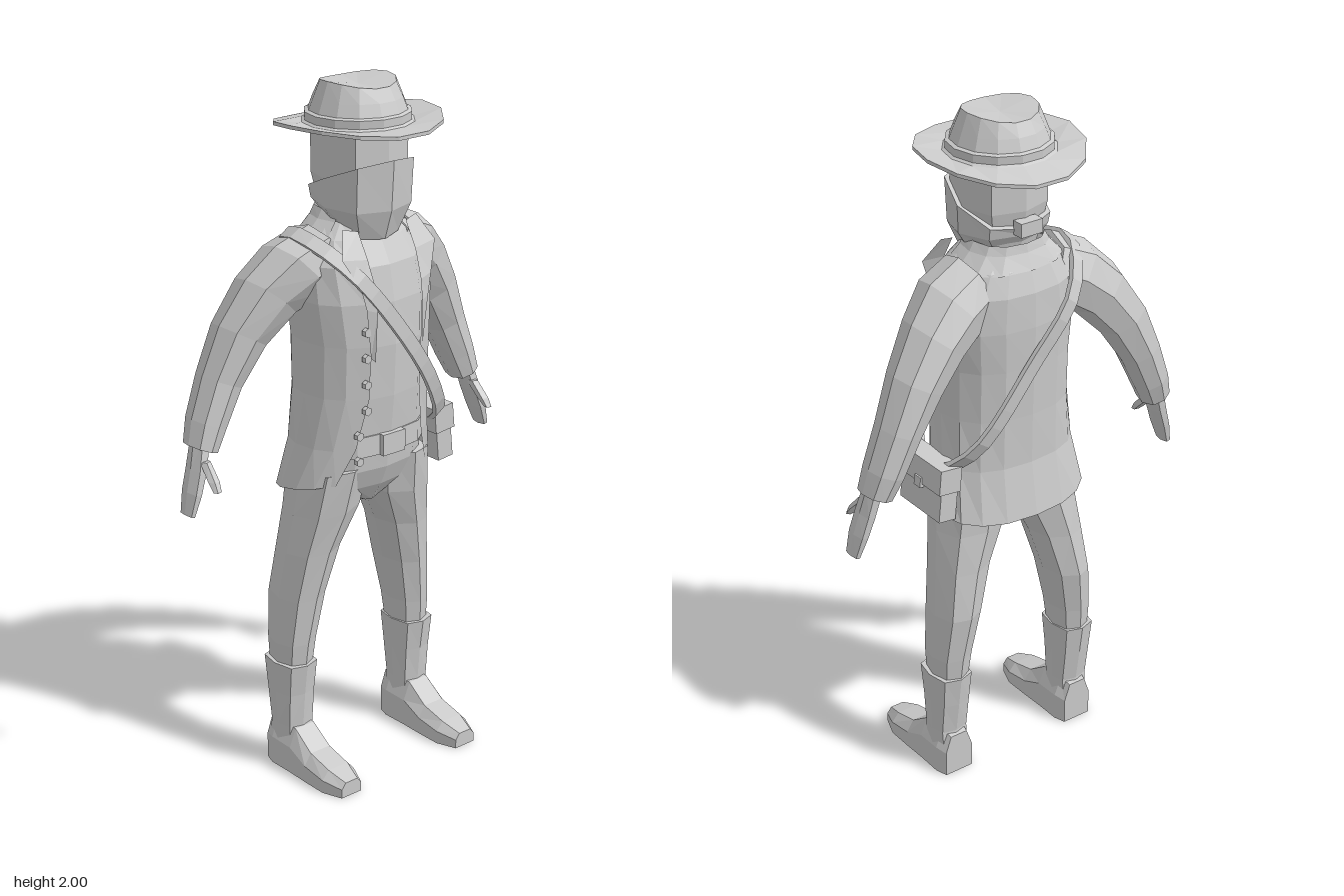
import * as THREE from 'three';

const V = (x, y, z) => new THREE.Vector3(x, y, z);
const TAU = Math.PI * 2;

// Skin between rings of equal length, listed from bottom to top.
function loft(rings, { closed = true, caps = true, topCentre } = {}) {
  const pos = [], n = rings[0].length;
  const tri = (...p) => p.forEach((v) => pos.push(v.x, v.y, v.z));
  for (let i = 0; i < rings.length - 1; i++) {
    for (let j = 0; j < (closed ? n : n - 1); j++) {
      const k = (j + 1) % n;
      tri(rings[i][j], rings[i + 1][j], rings[i + 1][k]);
      tri(rings[i][j], rings[i + 1][k], rings[i][k]);
    }
  }
  if (closed && caps) {
    const mid = (r) => r.reduce((a, p) => a.add(p), V(0, 0, 0)).divideScalar(n);
    const lo = rings[0], hi = rings[rings.length - 1];
    const a = mid(lo), b = topCentre || mid(hi);
    for (let j = 0; j < n; j++) {
      const k = (j + 1) % n;
      tri(a, lo[j], lo[k]);
      tri(b, hi[k], hi[j]);
    }
  }
  const g = new THREE.BufferGeometry();
  g.setAttribute('position', new THREE.Float32BufferAttribute(pos, 3));
  g.computeVertexNormals();
  return g;
}

// Squarish oval ring; tilt turns it about z, slope raises y along z.
function ring(x, y, z, rx, rz, { n = 8, tilt = 0, slope = 0, from = 0, to = TAU, pow = 0.85, open = false } = {}) {
  return Array.from({ length: n }, (_, j) => {
    const t = from + (to - from) * j / (open ? n - 1 : n);
    const c = Math.cos(t), s = Math.sin(t);
    const u = rx * Math.sign(c) * Math.abs(c) ** pow, w = rz * Math.sign(s) * Math.abs(s) ** pow;
    return V(x + u * Math.cos(tilt), y + u * Math.sin(tilt) + slope * w, z + w);
  });
}

// Copy reflected across x = 0 with corners reordered.
function mirror(geo) {
  const g = geo.index ? geo.toNonIndexed() : geo.clone();
  g.scale(-1, 1, 1);
  const p = g.attributes.position;
  for (let i = 0; i < p.count; i += 3) {
    const a = V(0, 0, 0).fromBufferAttribute(p, i + 1), b = V(0, 0, 0).fromBufferAttribute(p, i + 2);
    p.setXYZ(i + 1, b.x, b.y, b.z);
    p.setXYZ(i + 2, a.x, a.y, a.z);
  }
  g.computeVertexNormals();
  return g;
}

export function createModel() {
  const model = new THREE.Group();
  const solid = new THREE.MeshStandardMaterial({ color: 0xcccccc, flatShading: true });
  const cloth = solid.clone();
  cloth.side = THREE.DoubleSide;
  const add = (name, geo, mat = solid) => {
    const m = new THREE.Mesh(geo, mat);
    m.name = name;
    model.add(m);
    return m;
  };
  const pair = (name, geo, mat) => {
    add('left' + name, geo, mat);
    add('right' + name, mirror(geo), mat);
  };
  const box = (w, h, d, x, y, z, rz = 0) => new THREE.BoxGeometry(w, h, d).rotateZ(rz).translate(x, y, z);

  // Coat rows: height, half width, front z, back z, half width of the opening
  const rows = [
    [0.87, 0.24, 0.13, -0.175, 0.165], [1.0, 0.212, 0.15, -0.15, 0.12],
    [1.15, 0.198, 0.165, -0.152, 0.09], [1.3, 0.198, 0.172, -0.158, 0.09],
    [1.42, 0.21, 0.165, -0.163, 0.1], [1.52, 0.2, 0.145, -0.16, 0.11],
    [1.585, 0.16, 0.11, -0.14, 0.1], [1.625, 0.11, 0.085, -0.115, 0.075],
  ];
  add('coat', loft(rows.map(([y, rx, f, b, e], i) => {
    const a = Math.asin((e / rx) ** (1 / 0.85));
    return ring(0, y, (f + b) / 2, rx, (f - b) / 2, {
      n: 15, from: Math.PI / 2 + a, to: Math.PI * 2.5 - a, open: true, slope: i ? 0 : 0.2,
    });
  }), { closed: false }), cloth);
  add('shirt', loft(rows.slice(1).map(([y, rx, f, b]) =>
    ring(0, y - 0.01, (f + b) / 2, rx - 0.014, (f - b) / 2 - 0.012, { n: 12 }))));

  // Lapels folded over the chest, and the collar
  const lapel = [
    [0.085, 0.093, 1.26, 0.174], [0.08, 0.11, 1.4, 0.176], [0.08, 0.125, 1.46, 0.17],
    [0.085, 0.165, 1.54, 0.14], [0.085, 0.13, 1.61, 0.1],
  ].map(([a, b, y, z]) => [V(a, y, z), V(b, y + 0.01, z - 0.01)].reverse());
  pair('Lapel', loft(lapel, { closed: false }), cloth);
  add('collar', loft([[1.58, 0.165, 0.125], [1.625, 0.12, 0.105], [1.65, 0.105, 0.1]].map(([y, rx, rz]) =>
    ring(0, y, -0.02, rx, rz, { n: 9, from: Math.PI * 0.85, to: Math.PI * 2.15, open: true })), { closed: false }), cloth);

  // Buttons along the right coat edge
  for (let i = 0; i < 6; i++) {
    const y = 0.97 + i * 0.075;
    add('button', new THREE.CylinderGeometry(0.013, 0.013, 0.014, 6).rotateX(Math.PI / 2)
      .translate(y < 1.1 ? -0.12 : -0.105, y, y < 1.1 ? 0.145 : 0.16));
  }

  // Belt and buckle
  add('belt', loft([0.97, 1.03].map((y) => ring(0, y, 0, 0.2, 0.146, { n: 12 }))));
  add('buckle', box(0.08, 0.062, 0.02, 0, 1.0, 0.146));

  // Hips and trouser legs
  add('hips', loft([[0.8, 0.03, 0.06], [0.86, 0.15, 0.1], [0.92, 0.19, 0.125], [1.0, 0.195, 0.135]].map(
    ([y, rx, rz]) => ring(0, y, 0, rx, rz, { n: 12 }))));
  pair('TrouserLeg', loft([
    [0.22, 0.3, -0.04, 0.05, 0.065], [0.215, 0.4, -0.04, 0.058, 0.075], [0.195, 0.54, -0.04, 0.067, 0.09],
    [0.165, 0.68, -0.025, 0.08, 0.095], [0.128, 0.8, -0.01, 0.102, 0.107], [0.112, 0.93, 0, 0.1, 0.12],
  ].map(([x, y, z, rx, rz]) => ring(x, y, z, rx, rz, { tilt: -0.1 }))));

  // Boots: shaft and a foot running forward in wedge sections
  pair('BootShaft', loft([
    [0.05, -0.04, 0.052, 0.055], [0.14, -0.035, 0.053, 0.052], [0.24, -0.038, 0.055, 0.064], [0.335, -0.038, 0.059, 0.077],
  ].map(([y, z, rx, rz]) => ring(0.222, y, z, rx, rz, { pow: 0.65 }))));
  pair('Foot', loft([
    [-0.096, 0.046, 0.13], [-0.06, 0.057, 0.14], [0.02, 0.056, 0.135], [0.09, 0.058, 0.085], [0.17, 0.058, 0.065], [0.23, 0.036, 0.045],
  ].map(([z, w, h]) => [[-1, 0], [-1, 0.6], [-0.6, 1], [0.6, 1], [1, 0.6], [1, 0]].map(
    ([u, v]) => V(0.22 + u * w, v * h, z)).reverse()).map((r) => r.reverse()).reverse().map((r) => r.reverse()).reverse()
    .map((r) => r.reverse())));

  // Sleeves, hands and thumbs
  pair('Sleeve', loft([
    [0.483, 1.035, -0.092, 0.043, 0.052, 0.38], [0.458, 1.1, -0.098, 0.052, 0.06, 0.4], [0.41, 1.21, -0.1, 0.06, 0.066, 0.42],
    [0.347, 1.33, -0.09, 0.075, 0.078, 0.52], [0.27, 1.43, -0.068, 0.088, 0.092, 0.7],
    [0.19, 1.495, -0.04, 0.1, 0.105, 0.85], [0.11, 1.53, -0.025, 0.095, 0.1, 1.1],
  ].map(([x, y, z, rx, rz, tilt]) => ring(x, y, z, rx, rz, { tilt }))));
  pair('Hand', loft([
    [0.546, 0.86, -0.072, 0.011, 0.028], [0.528, 0.92, -0.075, 0.017, 0.037],
    [0.508, 0.98, -0.08, 0.02, 0.037], [0.485, 1.06, -0.09, 0.022, 0.032],
  ].map(([x, y, z, rx, rz]) => ring(x, y, z, rx, rz, { n: 6, tilt: 0.3 }))));
  pair('Thumb', loft([[0.502, 0.94, 0.006, 0.012, 0.01], [0.5, 0.965, -0.015, 0.016, 0.018], [0.496, 1.01, -0.06, 0.014, 0.022]].map(
    ([x, y, z, rx, rz]) => ring(x, y, z, rx, rz, { n: 5 }))));

  // Head with a kerchief over the lower face, tied behind
  add('head', loft([[1.6, 0.085, 0.09], [1.68, 0.105, 0.11], [1.74, 0.12, 0.122], [1.89, 0.12, 0.122]].map(
    ([y, rx, rz]) => ring(0, y, 0.005, rx, rz, { pow: 0.75 }))));
  add('kerchief', loft([[1.605, 0.09, 0.1, -0.3], [1.665, 0.128, 0.127, -0.05], [1.745, 0.131, 0.136, 0.4]].map(
    ([y, rx, rz, slope]) => ring(0, y, 0.012, rx, rz, { slope, pow: 0.8 }))));
  add('kerchiefKnot', box(0.07, 0.04, 0.035, 0, 1.7, -0.125));

  // Hat: underside of brim, rim, band and dented crown in one profile
  const hat = [
    [0.11, 1.872], [0.232, 1.862], [0.232, 1.872], [0.155, 1.885], [0.147, 1.89],
    [0.147, 1.912], [0.136, 1.916], [0.123, 1.95], [0.104, 1.985],
  ].map(([r, y], i) => Array.from({ length: 14 }, (_, j) => {
    const t = (j + 0.5) / 14 * TAU - TAU / 28, c = Math.cos(t), s = Math.sin(t);
    const wave = i === 1 || i === 2 ? 0.03 * c * c + 0.012 * s : i === 8 ? 0.015 * c * c : 0;
    return V(r * c, y + wave, r * s);
  }));
  add('hat', loft(hat, { topCentre: V(0, 1.98, 0) }));

  // Strap: closed band from the right shoulder to the left hip
  const path = new THREE.CatmullRomCurve3([
    V(-0.19, 1.585, 0.03), V(-0.13, 1.505, 0.145), V(0, 1.335, 0.182), V(0.12, 1.165, 0.17), V(0.205, 1.03, 0.11),
    V(0.235, 0.99, 0), V(0.18, 1.08, -0.13), V(0.01, 1.32, -0.172), V(-0.12, 1.49, -0.17), V(-0.19, 1.59, -0.07),
  ], true);
  const axis = V(0.82, 0.57, 0);
  const strap = Array.from({ length: 33 }, (_, i) => {
    const p = path.getPointAt((i % 32) / 32), t = path.getTangentAt((i % 32) / 32);
    const out = t.clone().cross(axis).normalize(), side = out.clone().cross(t).normalize();
    return [[-1, -1], [1, -1], [1, 1], [-1, 1]].map(([a, b]) =>
      p.clone().addScaledVector(side, a * 0.02).addScaledVector(out, b * 0.007));
  });
  add('strap', loft(strap, { caps: false }), cloth);

  // Satchel on the left hip with a sloping flap
  add('satchel', box(0.055, 0.15, 0.19, 0.243, 0.945, 0.0, 0.1));
  add('satchelFlap', box(0.07, 0.075, 0.2, 0.24, 0.995, 0.0, 0.1));
  add('satchelClasp', box(0.014, 0.03, 0.03, 0.277, 0.965, 0.0, 0.1));
  return model;
}
